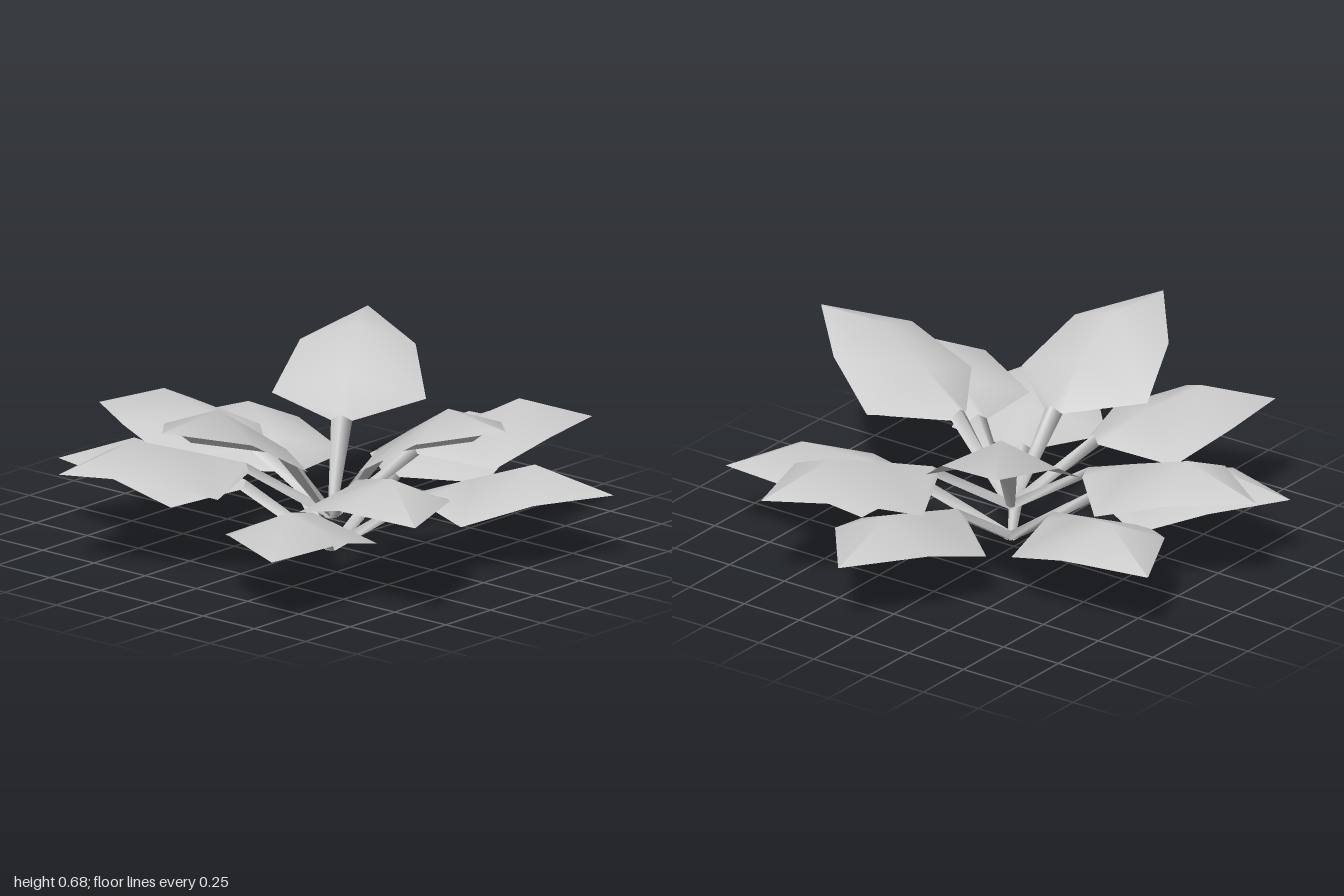
import * as THREE from 'three';

// Skin a surface through rows of points, each row running from -z to +z
function loft(rows) {
  const n = rows[0].length;
  const index = [];
  for (let i = 0; i < rows.length - 1; i++) {
    for (let j = 0; j < n - 1; j++) {
      const a = i * n + j, b = a + 1, c = a + n, d = c + 1;
      index.push(a, b, c, b, d, c);
    }
  }
  const geometry = new THREE.BufferGeometry();
  geometry.setAttribute('position', new THREE.Float32BufferAttribute(rows.flat(2), 3));
  geometry.setIndex(index);
  geometry.computeVertexNormals();
  return geometry;
}

// Row folded over a raised midrib: edge, midrib, edge
const fold = ([midX, midY, edgeX, edgeY, halfWidth]) => [
  [edgeX, edgeY, -halfWidth],
  [midX, midY, 0],
  [edgeX, edgeY, halfWidth],
];

// Blade: midrib x, y, then edge x, y and half width
const bladeGeometry = loft([
  [0.33, 0.24, 0.33, 0.215, 0.04],
  [0.53, 0.3, 0.53, 0.197, 0.287],
  [0.76, 0.365, 0.79, 0.27, 0.215],
  [1.054, 0.26, 1.054, 0.26, 0.001],
].map(fold));

// Three-sided stalk that widens into the blade
const stalkGeometry = loft([
  [-0.01, 0.025, 0.012, 0, 0.015],
  [0.33, 0.24, 0.34, 0.212, 0.04],
].map(fold).map((row) => [...row, row[0]]));

// Leaf tiers: base height, upward tilt and headings in degrees
const tiers = [
  { name: 'lowerLeaf', y: 0, tilt: 0, headings: [-89, -31.8, 61, 156.4, -154.7] },
  { name: 'middleLeaf', y: 0.125, tilt: 0, headings: [-65.3, 32, 121.4, 174.8] },
  { name: 'upperLeaf', y: 0.125, tilt: 15.7, headings: [6.1, 90.3, -122.8] },
];

export function createModel() {
  const model = new THREE.Group();
  model.name = 'leafyPlant';
  const material = new THREE.MeshStandardMaterial({ color: 0xcccccc, side: THREE.DoubleSide });

  for (const { name, y, tilt, headings } of tiers) {
    headings.forEach((heading, i) => {
      const leaf = new THREE.Group();
      leaf.name = `${name}${i + 1}`;
      const blade = new THREE.Mesh(bladeGeometry, material);
      blade.name = 'blade';
      const stalk = new THREE.Mesh(stalkGeometry, material);
      stalk.name = 'stalk';
      leaf.add(blade, stalk);
      leaf.position.set(0.05, y, 0.05);
      leaf.rotation.set(0, THREE.MathUtils.degToRad(-heading), THREE.MathUtils.degToRad(tilt), 'YZX');
      model.add(leaf);
    });
  }
  return model;
}
